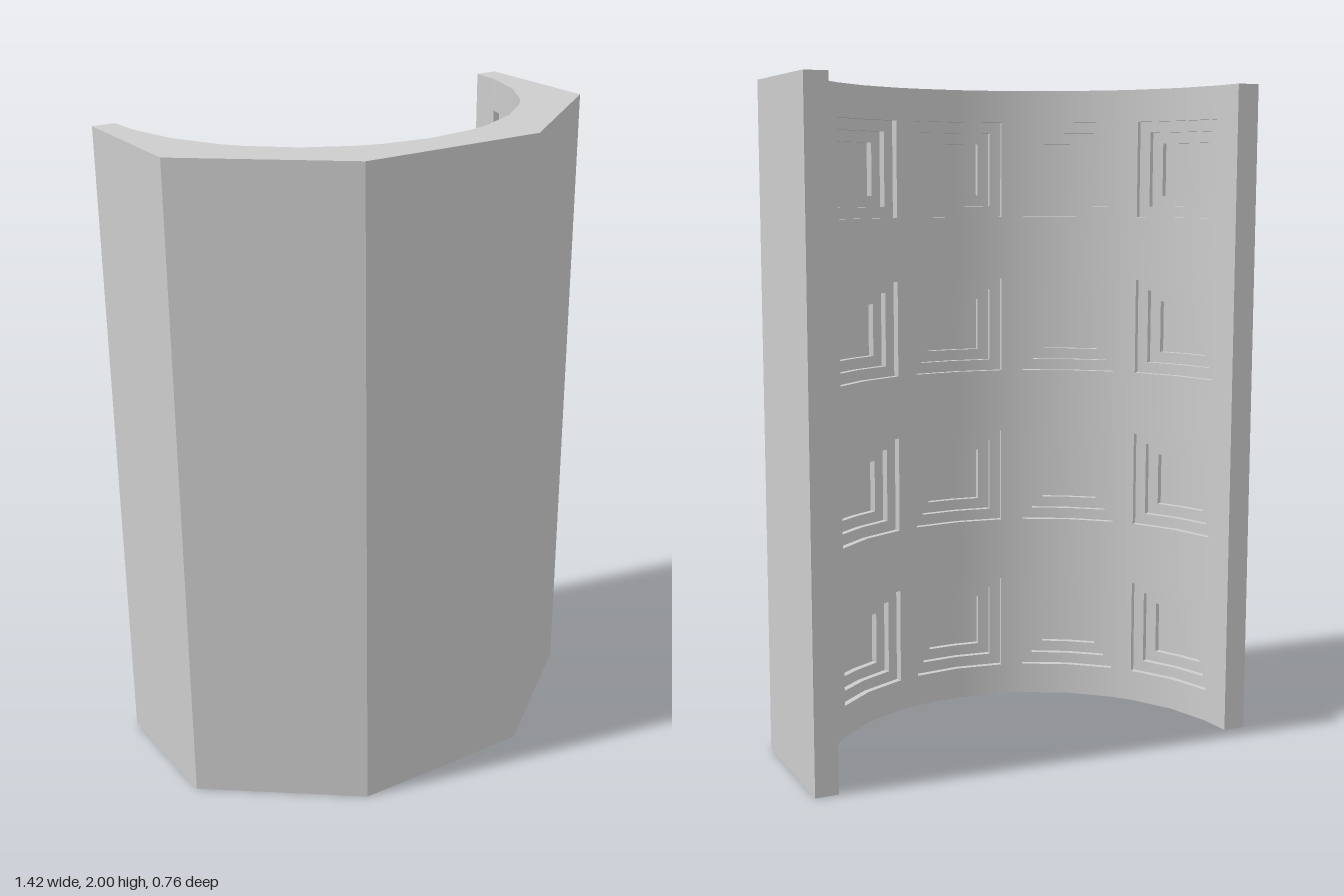
import * as THREE from 'three';

const HEIGHT = 2, RADIUS = 0.64, AXIS_Z = -0.378;
const RAD = Math.PI / 180;
const COLUMNS = [-67.2, -33.6, 0, 33.6, 67.2].map(a => a * RAD);
const ROWS = [0.25, 0.75, 1.25, 1.75];
const HALF_ANGLE = 13.6 * RAD, HALF_HEIGHT = 0.15;
const STEPS = 3, INSET = 0.034, STEP_DEPTH = 0.02;

// Point on a cylinder about the vault axis; angle 0 points to +z
const onArc = (a, y, r = RADIUS) => new THREE.Vector3(r * Math.sin(a), y, r * Math.cos(a));

// Collects quads, with flat normals or smooth normals facing the axis
class Quads {
  positions = [];
  normals = [];
  add(a, b, c, d, curved = false) {
    const flat = new THREE.Vector3().crossVectors(b.clone().sub(a), c.clone().sub(a)).normalize();
    for (const p of [a, b, c, a, c, d]) {
      const n = curved ? new THREE.Vector3(-p.x, 0, -p.z).normalize() : flat;
      this.positions.push(p.x, p.y, p.z);
      this.normals.push(n.x, n.y, n.z);
    }
  }
  addArc(a0, a1, y0, y1, r = RADIUS) {
    this.add(onArc(a1, y0, r), onArc(a0, y0, r), onArc(a0, y1, r), onArc(a1, y1, r), true);
  }
  geometry() {
    const g = new THREE.BufferGeometry();
    g.setAttribute('position', new THREE.Float32BufferAttribute(this.positions, 3));
    g.setAttribute('normal', new THREE.Float32BufferAttribute(this.normals, 3));
    return g;
  }
}

// One stepped recess, centred on angle 0 and y = 0
function cofferGeometry() {
  const q = new Quads();
  const size = k => [HALF_ANGLE - k * INSET / RADIUS, HALF_HEIGHT - k * INSET];
  const loop = (k, r) => {
    const [a, h] = size(k);
    return [[a, -h], [0, -h], [-a, -h], [-a, h], [0, h], [a, h]].map(([t, y]) => onArc(t, y, r));
  };
  const band = (outer, inner, curved) => outer.forEach((p, i) => {
    const j = (i + 1) % outer.length;
    q.add(p, outer[j], inner[j], inner[i], curved);
  });
  for (let k = 0; k < STEPS; k++) {
    const r = RADIUS + k * STEP_DEPTH, deep = r + STEP_DEPTH;
    band(loop(k, r), loop(k, deep), false);                              // reveal
    if (k < STEPS - 1) band(loop(k, deep), loop(k + 1, deep), true);     // ledge
    else {
      const [a, h] = size(k);                                            // back panel
      q.addArc(-a, 0, -h, h, deep);
      q.addArc(0, a, -h, h, deep);
    }
  }
  return q.geometry();
}

// Curved inner face with openings for the coffers
function soffitGeometry() {
  const q = new Quads();
  let from = -Math.PI / 2;
  for (const c of COLUMNS) {
    q.addArc(from, c - HALF_ANGLE, 0, HEIGHT);
    let y = 0;
    for (const row of [...ROWS, HEIGHT + HALF_HEIGHT]) {
      q.addArc(c - HALF_ANGLE, c, y, row - HALF_HEIGHT);
      q.addArc(c, c + HALF_ANGLE, y, row - HALF_HEIGHT);
      y = row + HALF_HEIGHT;
    }
    from = c + HALF_ANGLE;
  }
  q.addArc(from, Math.PI / 2, 0, HEIGHT);
  return q.geometry();
}

export function createModel() {
  const stone = new THREE.MeshStandardMaterial({ color: 0xcccccc });
  stone.name = 'light grey stone';
  const model = new THREE.Group();
  model.name = 'cofferedNiche';
  const body = new THREE.Group();
  body.name = 'nicheBody';
  body.position.z = AXIS_Z;
  model.add(body);
  const add = (name, geometry) => {
    const mesh = new THREE.Mesh(geometry, stone);
    mesh.name = name;
    body.add(mesh);
    return mesh;
  };

  // Faceted outside and the two end faces, from left to right
  const outer = [[0.71, 0], [0.71, 0.428], [0.287, 0.756], [-0.287, 0.756], [-0.71, 0.428], [-0.71, 0]];
  const path = [[RADIUS, 0], ...outer, [-RADIUS, 0]];
  const walls = new Quads();
  for (let i = 0; i < path.length - 1; i++) {
    const [x0, z0] = path[i], [x1, z1] = path[i + 1];
    walls.add(new THREE.Vector3(x1, 0, z1), new THREE.Vector3(x0, 0, z0),
      new THREE.Vector3(x0, HEIGHT, z0), new THREE.Vector3(x1, HEIGHT, z1));
  }
  add('outerWalls', walls.geometry());

  // Flat top and bottom
  const angles = [-Math.PI / 2, ...COLUMNS.flatMap(c => [c - HALF_ANGLE, c, c + HALF_ANGLE]), Math.PI / 2];
  const outline = [...outer, ...angles.map(a => [RADIUS * Math.sin(a), RADIUS * Math.cos(a)])];
  for (const [name, sign, y] of [['topFace', -1, HEIGHT], ['bottomFace', 1, 0]]) {
    const shape = new THREE.Shape(outline.map(([x, z]) => new THREE.Vector2(x, sign * z)));
    add(name, new THREE.ShapeGeometry(shape).rotateX(sign * Math.PI / 2)).position.y = y;
  }

  // Inner face and its grid of coffers
  add('soffit', soffitGeometry());
  const coffer = cofferGeometry();
  for (const angle of COLUMNS) for (const y of ROWS) {
    const mesh = add('coffer', coffer);
    mesh.position.y = y;
    mesh.rotation.y = angle;
  }
  return model;
}
